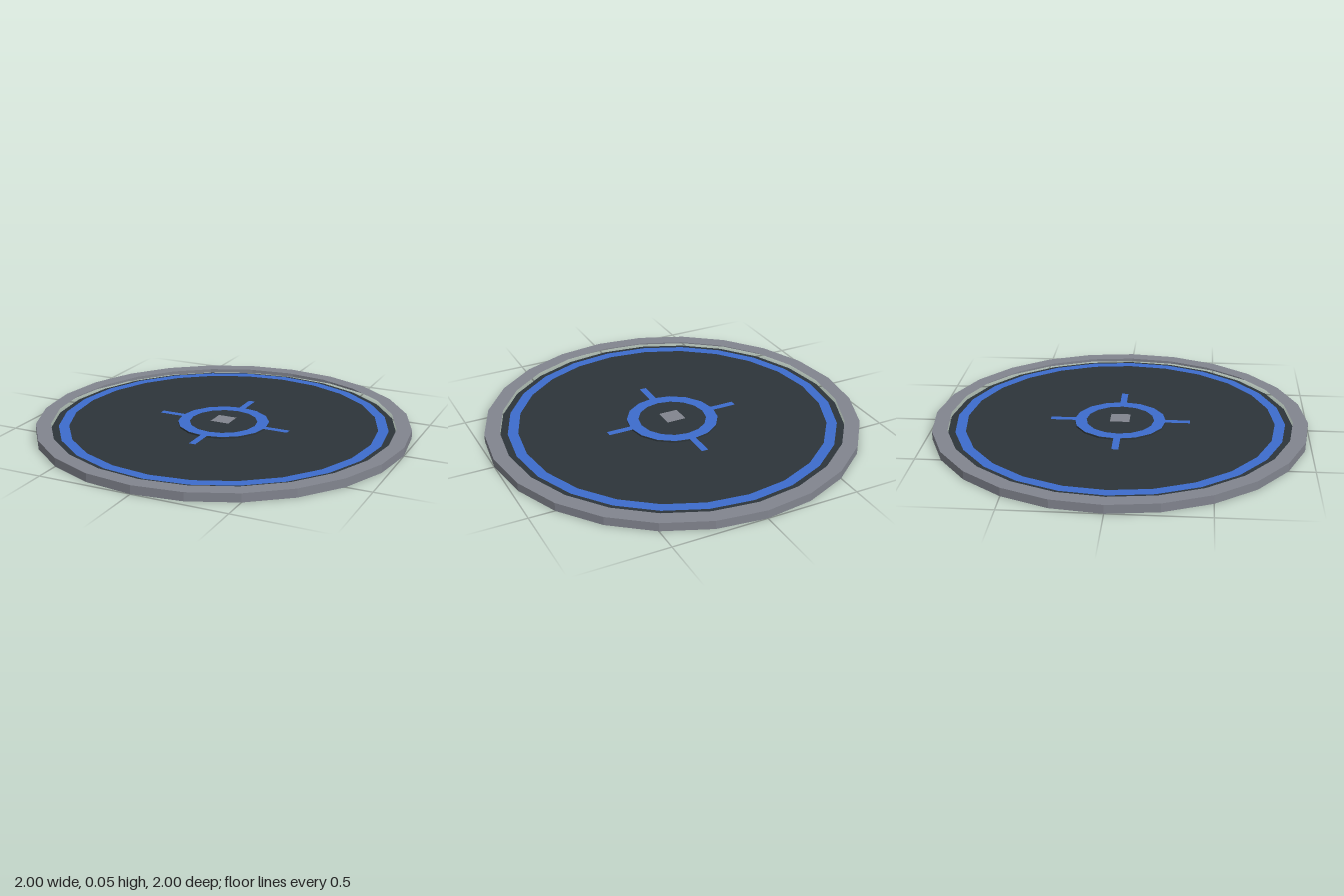
import * as THREE from 'three';

const mat = (name, color, extra = {}) => {
  const m = new THREE.MeshStandardMaterial({ color, flatShading: true, side: THREE.DoubleSide, ...extra });
  m.name = name;
  return m;
};

export function createModel() {
  const grey = mat('rim grey', 0x82858f);
  const dark = mat('dark slate', 0x2d353a);
  const blue = mat('marking blue', 0x3d6ccd);
  const group = new THREE.Group();
  group.name = 'roundPad';

  const add = (name, geometry, material, y) => {
    const mesh = new THREE.Mesh(geometry, material);
    mesh.name = name;
    mesh.position.y = y;
    group.add(mesh);
    return mesh;
  };
  // Flat shapes laid face up
  const flat = (geometry) => geometry.rotateX(-Math.PI / 2);

  // Rim: an open shell with a vertical wall and a flat lip
  add('rimWall', new THREE.CylinderGeometry(1, 1, 0.045, 24, 1, true), grey, 0.0225);
  add('rimLip', flat(new THREE.RingGeometry(0.92, 1, 24)), grey, 0.045);

  // Deck set below the lip, with its blue border
  add('deck', flat(new THREE.CircleGeometry(0.92, 24)), dark, 0.022);
  add('borderRing', flat(new THREE.RingGeometry(0.825, 0.88, 24)), blue, 0.031);

  // Low hub with the target ring on top
  add('hub', new THREE.CylinderGeometry(0.245, 0.245, 0.008, 16), dark, 0.026);
  add('targetRing', flat(new THREE.RingGeometry(0.182, 0.245, 16)), blue, 0.032);

  // Four arms around the target ring
  for (let i = 0; i < 4; i++) {
    const arm = flat(new THREE.PlaneGeometry(0.14, 0.036));
    arm.translate(0.305, 0, 0).rotateY(i * Math.PI / 2);
    add('targetArm', arm, blue, 0.031);
  }

  // Square plate at the centre
  add('centrePlate', flat(new THREE.PlaneGeometry(0.104, 0.104)), grey, 0.043);
  return group;
}
